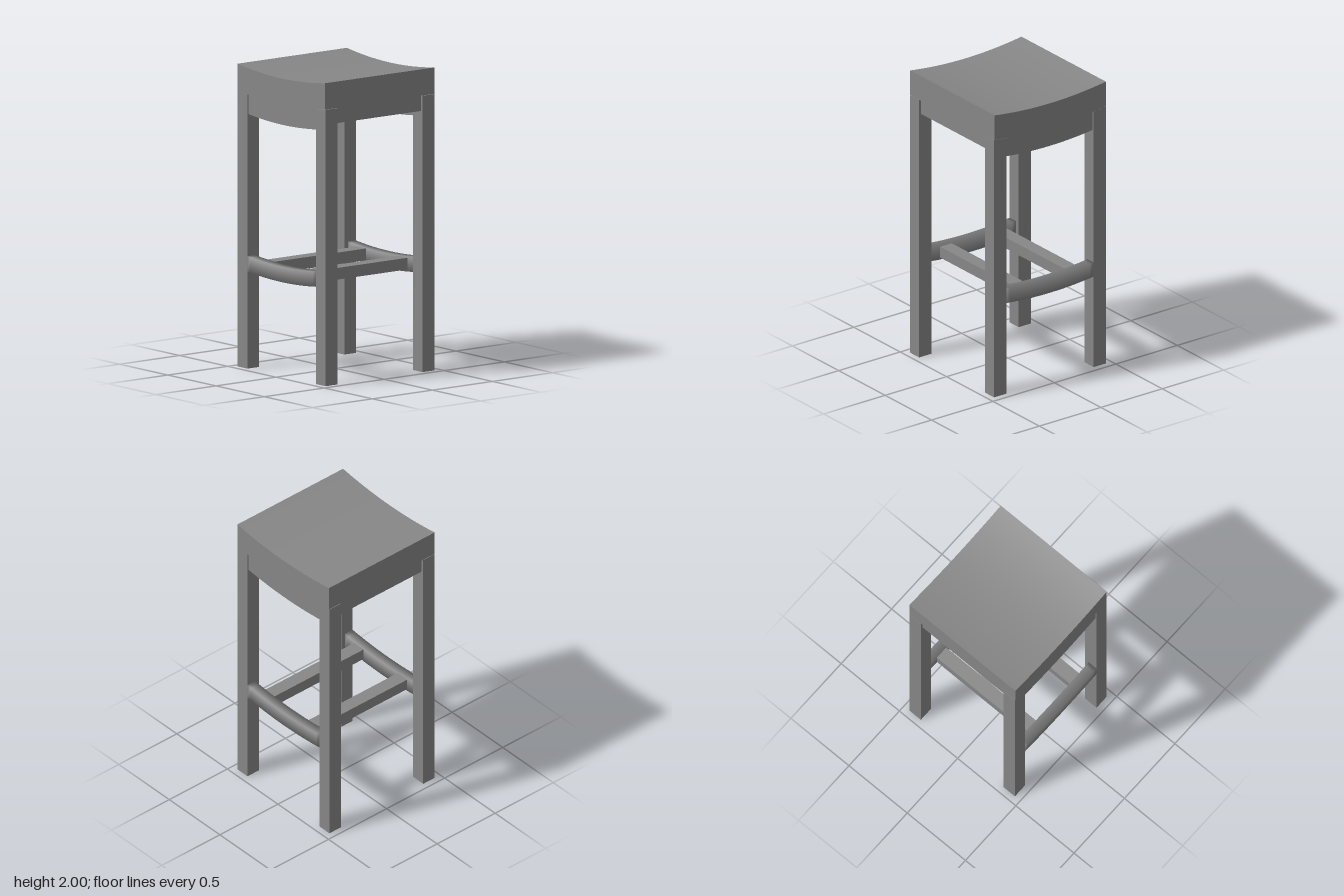
import * as THREE from 'three';
import { mergeVertices } from 'three/addons/utils/BufferGeometryUtils.js';

const material = new THREE.MeshStandardMaterial({ color: 0x878787 });
const HALF = 0.455; // half width of the stool
const LEG = 0.1; // leg thickness
const INNER = HALF - LEG;

// Shared saddle curve: everything dished rises towards the sides
const sag = (x) => 0.162 * x * x;
const dish = (x, y) => y + sag(x);

function addBox(group, name, [x0, x1], [y0, y1], [z0, z1], { segments = 1, bend, soft } = {}) {
  let geometry = new THREE.BoxGeometry(x1 - x0, y1 - y0, z1 - z0, segments, 1, 1);
  geometry.translate((x0 + x1) / 2, (y0 + y1) / 2, (z0 + z1) / 2);
  if (soft) {
    // Share corners so that the shading rolls over the edges
    geometry.deleteAttribute('normal');
    geometry.deleteAttribute('uv');
    geometry = mergeVertices(geometry);
  }
  if (bend) {
    const p = geometry.attributes.position;
    for (let i = 0; i < p.count; i++) p.setY(i, bend(p.getX(i), p.getY(i)));
    geometry.computeVertexNormals();
  }
  const mesh = new THREE.Mesh(geometry, material);
  mesh.name = name;
  group.add(mesh);
}

export function createModel() {
  const stool = new THREE.Group();
  stool.name = 'stool';
  // Range measured outwards from the middle, on the + or - side
  const span = (s, a, b) => (s > 0 ? [a, b] : [-b, -a]);

  // Thick dished seat, a hair narrower than the legs
  addBox(stool, 'seat', [-0.453, 0.453], [1.793, 1.967], [-HALF, HALF], { segments: 28, bend: dish });

  // Square legs, tops cut to follow the seat's underside
  const cutTop = (x, y) => (y > 1 ? y + sag(x) : y);
  for (const sx of [-1, 1]) {
    for (const sz of [-1, 1]) {
      const name = `${sz > 0 ? 'front' : 'back'}${sx > 0 ? 'Left' : 'Right'}Leg`;
      addBox(stool, name, span(sx, INNER, HALF), [0, 1.791], span(sz, INNER, 0.453), { segments: 4, bend: cutTop });
    }
  }

  // Curved aprons and footrests at the front and back
  for (const [side, s] of [['front', 1], ['back', -1]]) {
    addBox(stool, `${side}Apron`, [-INNER, INNER], [1.659, 1.793], span(s, 0.37, 0.443), { segments: 24, bend: dish });
    addBox(stool, `${side}Footrest`, [-INNER, INNER], [0.622, 0.722], span(s, 0.385, 0.453), { segments: 24, bend: dish, soft: true });
  }

  // Straight side aprons, and the rails joining the footrests
  for (const [side, s] of [['left', 1], ['right', -1]]) {
    addBox(stool, `${side}Apron`, span(s, 0.365, 0.438), [1.722, 1.83], [-INNER, INNER]);
    addBox(stool, `${side}Rail`, span(s, 0.168, 0.262), [0.647, 0.724], [-0.39, 0.39]);
  }

  return stool;
}
